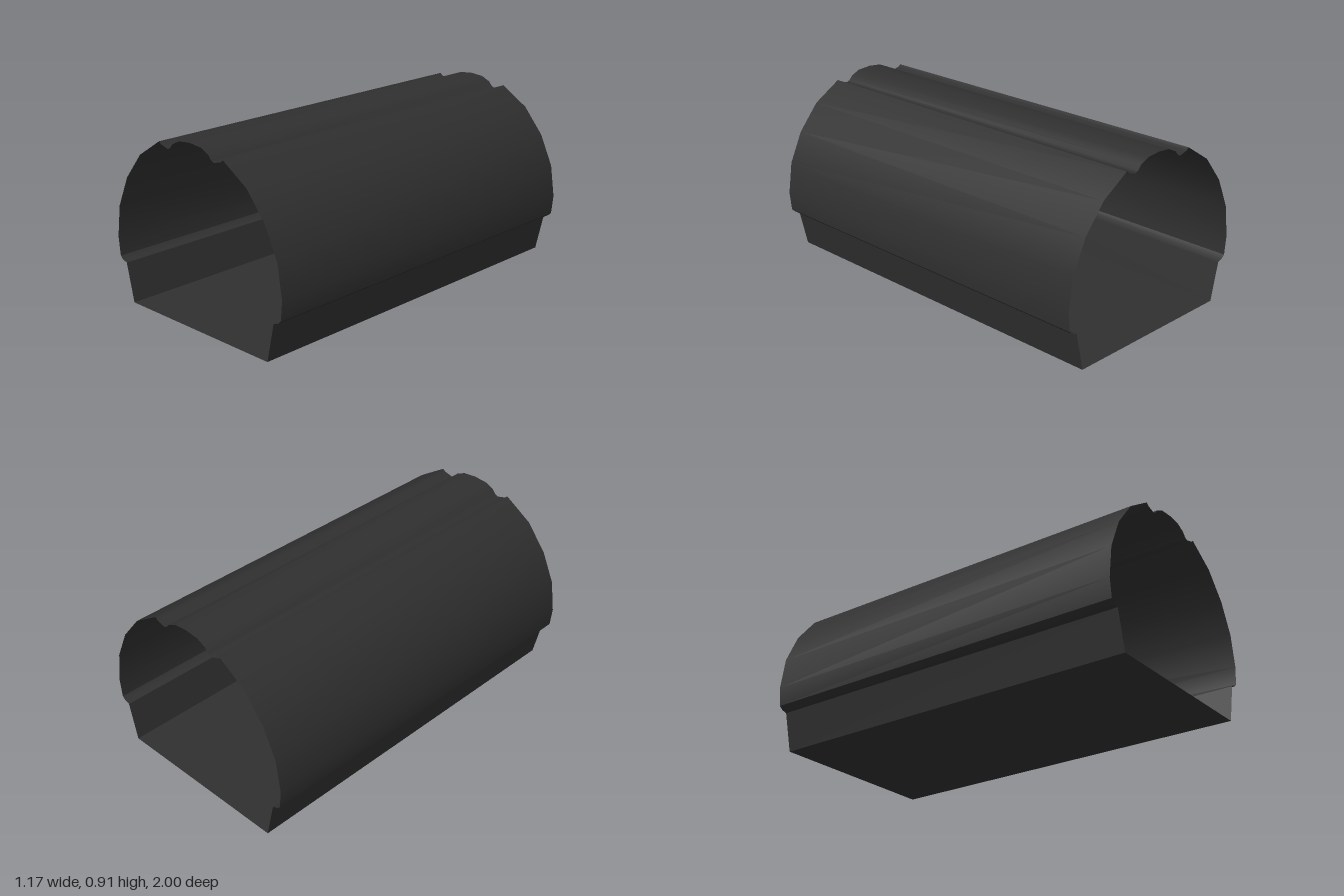
import * as THREE from 'three';

const HALF_LENGTH = 1;

// Half profiles (x, y), each a smooth run; creases lie between runs
const wall = [[0.482, 0], [0.527, 0.197]];
const lip = [[0.527, 0.197], [0.556, 0.206], [0.573, 0.222]];
const vault = [[0.573, 0.222], [0.583, 0.32], [0.558, 0.485], [0.485, 0.642], [0.373, 0.777], [0.222, 0.872]];
const crownHalf = [[0.222, 0.872], [0.208, 0.86], [0.16, 0.847], [0.143, 0.855], [0.123, 0.878], [0.075, 0.9]];

// Mirror a run to the other side, keeping the counterclockwise order
const mirror = (run) => run.map(([x, y]) => [-x, y]).reverse();

// Sweep an open run of points along z, normals facing outwards
function sweep(run) {
  const positions = [];
  const index = [];
  run.forEach(([x, y], i) => {
    positions.push(x, y, HALF_LENGTH, x, y, -HALF_LENGTH);
    if (i > 0) {
      const a = 2 * (i - 1);
      index.push(a, a + 1, a + 3, a, a + 3, a + 2);
    }
  });
  const geometry = new THREE.BufferGeometry();
  geometry.setAttribute('position', new THREE.Float32BufferAttribute(positions, 3));
  geometry.setIndex(index);
  geometry.computeVertexNormals();
  return geometry;
}

export function createModel() {
  const group = new THREE.Group();
  group.name = 'tunnelShell';
  const charcoal = new THREE.MeshStandardMaterial({ color: 0x303030, side: THREE.DoubleSide });
  charcoal.name = 'charcoal';

  const add = (name, run) => {
    const mesh = new THREE.Mesh(sweep(run), charcoal);
    mesh.name = name;
    group.add(mesh);
  };

  // Side walls, overhanging lips and curved vault, on both sides
  for (const [name, run] of Object.entries({ Wall: wall, Lip: lip, Vault: vault })) {
    add('left' + name, run);
    add('right' + name, mirror(run));
  }

  // Raised ridge between two grooves along the top
  add('crown', [...crownHalf, [0, 0.907], ...mirror(crownHalf)]);

  // Flat floor; both ends stay open
  add('floor', [[-0.482, 0], [0.482, 0]]);

  return group;
}
